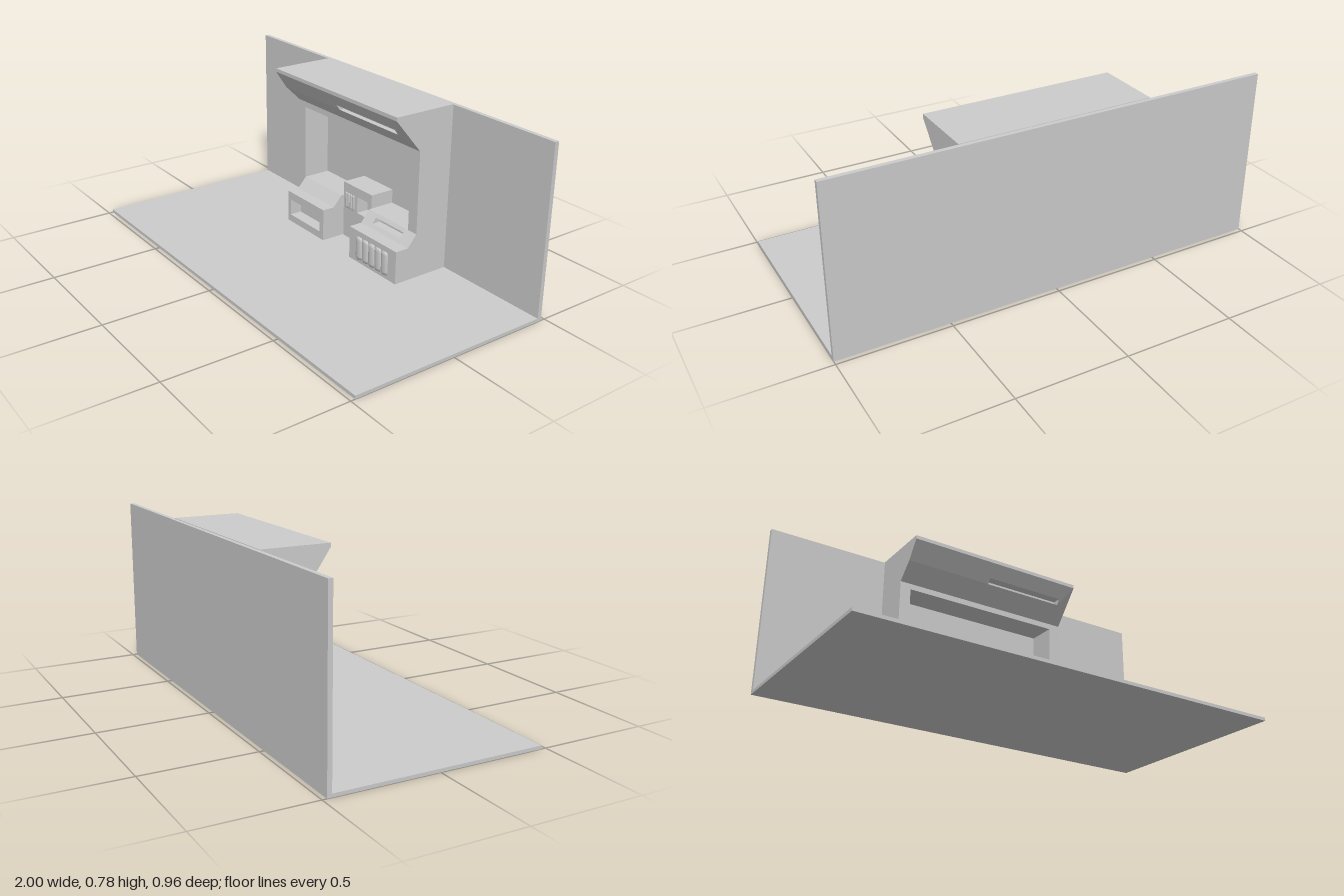
import * as THREE from 'three';
import { ConvexGeometry } from 'three/addons/geometries/ConvexGeometry.js';

const material = new THREE.MeshStandardMaterial({ color: 0xcccccc, flatShading: true });
const smooth = new THREE.MeshStandardMaterial({ color: 0xcccccc });

function add(parent, name, geometry, mat = material) {
  const mesh = new THREE.Mesh(geometry, mat);
  mesh.name = name;
  parent.add(mesh);
  return mesh;
}

// box given by its limits on each axis
function block(parent, name, [x0, x1], [y0, y1], [z0, z1]) {
  const mesh = add(parent, name, new THREE.BoxGeometry(x1 - x0, y1 - y0, z1 - z0));
  mesh.position.set((x0 + x1) / 2, (y0 + y1) / 2, (z0 + z1) / 2);
}

// side profile of [z, y] points, extruded along x
function prism(parent, name, profile, x0, x1) {
  const shape = new THREE.Shape(profile.map(([z, y]) => new THREE.Vector2(-z, y)));
  const geometry = new THREE.ExtrudeGeometry(shape, { depth: x1 - x0, bevelEnabled: false });
  geometry.rotateY(Math.PI / 2).translate(x0, 0, 0);
  add(parent, name, geometry);
}

// prism with a recess from xa to xb; the notch points go in after profile[index]
function slotted(parent, name, profile, index, notch, [x0, xa, xb, x1]) {
  const cut = [...profile.slice(0, index + 1), ...notch, ...profile.slice(index + 1)];
  if (xa > x0) prism(parent, name + 'RightEnd', profile, x0, xa);
  prism(parent, name + 'Recessed', cut, xa, xb);
  if (x1 > xb) prism(parent, name + 'LeftEnd', profile, xb, x1);
}

// row of rounded vertical ribs with softened ends
function ribs(parent, name, count, [x0, x1], [y0, y1], z, depth) {
  const w = (x1 - x0) / count, h = y1 - y0;
  const profile = [[0, 0], [0.75, 0.02], [1, 0.15], [1, 0.85], [0.75, 0.98], [0, 1]]
    .map(([r, t]) => new THREE.Vector2(r, t));
  for (let i = 0; i < count; i++) {
    const rib = add(parent, name, new THREE.LatheGeometry(profile, 16), smooth);
    rib.scale.set(w / 2, h, depth);
    rib.position.set(x0 + (i + 0.5) * w, y0, z);
  }
}

export function createModel() {
  const model = new THREE.Group();
  model.name = 'wallBooth';

  block(model, 'floor', [-1, 1], [0, 0.015], [-0.48, 0.48]);
  block(model, 'backWall', [-1, 1], [0.015, 0.78], [-0.48, -0.46]);

  // booth frame around the alcove
  const frame = new THREE.Group();
  frame.name = 'boothFrame';
  model.add(frame);
  block(frame, 'rightPost', [-0.44, -0.388], [0.015, 0.607], [-0.46, -0.285]);
  block(frame, 'leftPost', [0.385, 0.44], [0.015, 0.607], [-0.46, -0.285]);
  block(frame, 'lintel', [-0.388, 0.385], [0.58, 0.607], [-0.46, -0.285]);
  block(frame, 'alcoveBack', [-0.388, 0.385], [0.015, 0.58], [-0.46, -0.42]);

  // overhanging canopy with a long slot in its sloping face
  const canopy = new THREE.Group();
  canopy.name = 'canopy';
  model.add(canopy);
  const hood = [[-0.46, 0.782], [-0.152, 0.782], [-0.152, 0.765], [-0.21, 0.68],
    [-0.285, 0.607], [-0.46, 0.607]];
  slotted(canopy, 'hood', hood, 2,
    [[-0.193, 0.705], [-0.235, 0.705], [-0.235, 0.68]], [-0.44, -0.02, 0.38, 0.38]);
  const endPoints = [
    ...hood.map(([z, y]) => new THREE.Vector3(0.38, y, z)),
    ...hood.filter((p, i) => i !== 3).map(([z, y]) => new THREE.Vector3(0.44, y, z)),
  ];
  add(canopy, 'hoodTaperedEnd', new ConvexGeometry(endPoints));

  // right console with a tray opening in its front
  const rightConsole = new THREE.Group();
  rightConsole.name = 'rightConsole';
  model.add(rightConsole);
  const desk = [[-0.42, 0.22], [-0.285, 0.22], [-0.24, 0.17], [-0.18, 0.17],
    [-0.18, 0.015], [-0.42, 0.015]];
  slotted(rightConsole, 'desk', desk, 3,
    [[-0.18, 0.13], [-0.24, 0.13], [-0.24, 0.05], [-0.18, 0.05]],
    [-0.385, -0.365, -0.125, -0.095]);

  // left console with a slot in its slope and a ribbed front panel
  const leftConsole = new THREE.Group();
  leftConsole.name = 'leftConsole';
  model.add(leftConsole);
  const counter = desk.map(([z, y]) => [z === -0.18 ? -0.174 : z, y === 0.22 ? 0.225 : y]);
  slotted(leftConsole, 'counter', counter, 1,
    [[-0.273, 0.21], [-0.295, 0.21], [-0.295, 0.186], [-0.253, 0.186]],
    [0.115, 0.18, 0.37, 0.44]);
  ribs(leftConsole, 'frontPanelRib', 5, [0.165, 0.388], [0.032, 0.145], -0.175, 0.011);

  // centre cabinet with a square recess and a small grille
  const cabinet = new THREE.Group();
  cabinet.name = 'centreCabinet';
  model.add(cabinet);
  const body = [[-0.42, 0.29], [-0.298, 0.29], [-0.298, 0.015], [-0.42, 0.015]];
  slotted(cabinet, 'cabinet', body, 1,
    [[-0.298, 0.245], [-0.36, 0.245], [-0.36, 0.165], [-0.298, 0.165]],
    [-0.092, 0.01, 0.105, 0.115]);
  ribs(cabinet, 'grilleRib', 4, [-0.08, -0.01], [0.165, 0.245], -0.299, 0.006);

  return model;
}
